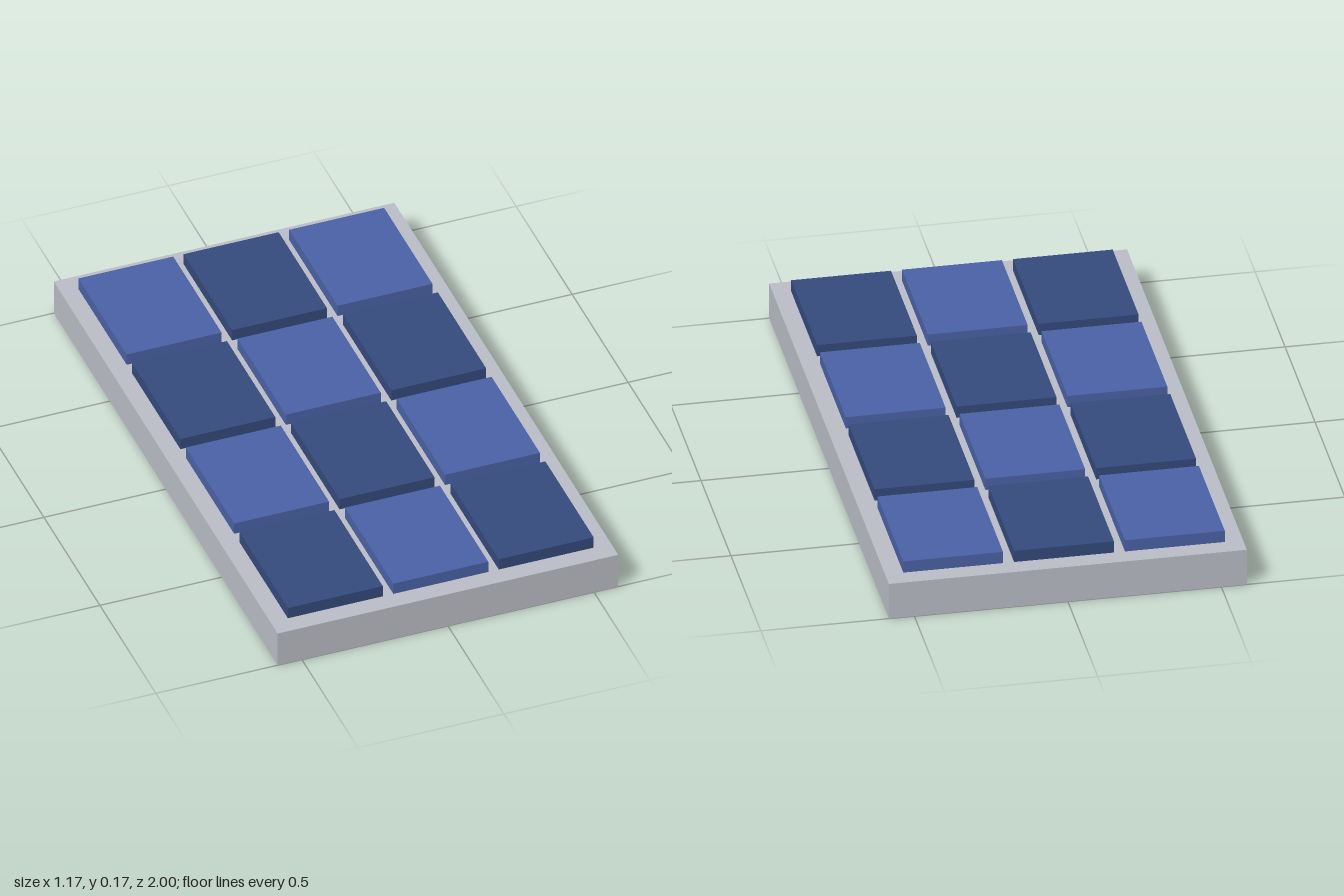
import * as THREE from 'three';

export function createModel() {
  const model = new THREE.Group();
  model.name = 'tiledPanel';

  const mat = (name, color) => {
    const m = new THREE.MeshStandardMaterial({ color });
    m.name = name;
    return m;
  };
  const grey = mat('frameGrey', 0xbabdc5);
  const lightBlue = mat('lightBlue', 0x4a61a5);
  const darkBlue = mat('darkBlue', 0x344a7c);

  const addBox = (name, size, pos, material) => {
    const mesh = new THREE.Mesh(new THREE.BoxGeometry(...size), material);
    mesh.name = name;
    mesh.position.set(...pos);
    model.add(mesh);
  };

  // Base slab
  const baseHeight = 0.127;
  addBox('base', [1.166, baseHeight, 2], [0, baseHeight / 2, 0], grey);

  // Raised tiles in a 3 x 4 checkerboard, light at the back corners
  const tile = [0.325, 0.041, 0.432];
  const pitchX = 0.361, pitchZ = 0.48;
  for (let row = 0; row < 4; row++) {
    for (let col = 0; col < 3; col++) {
      const pos = [(col - 1) * pitchX, baseHeight + tile[1] / 2, (row - 1.5) * pitchZ];
      addBox(`tile${row + 1}_${col + 1}`, tile, pos, (row + col) % 2 ? darkBlue : lightBlue);
    }
  }

  return model;
}
